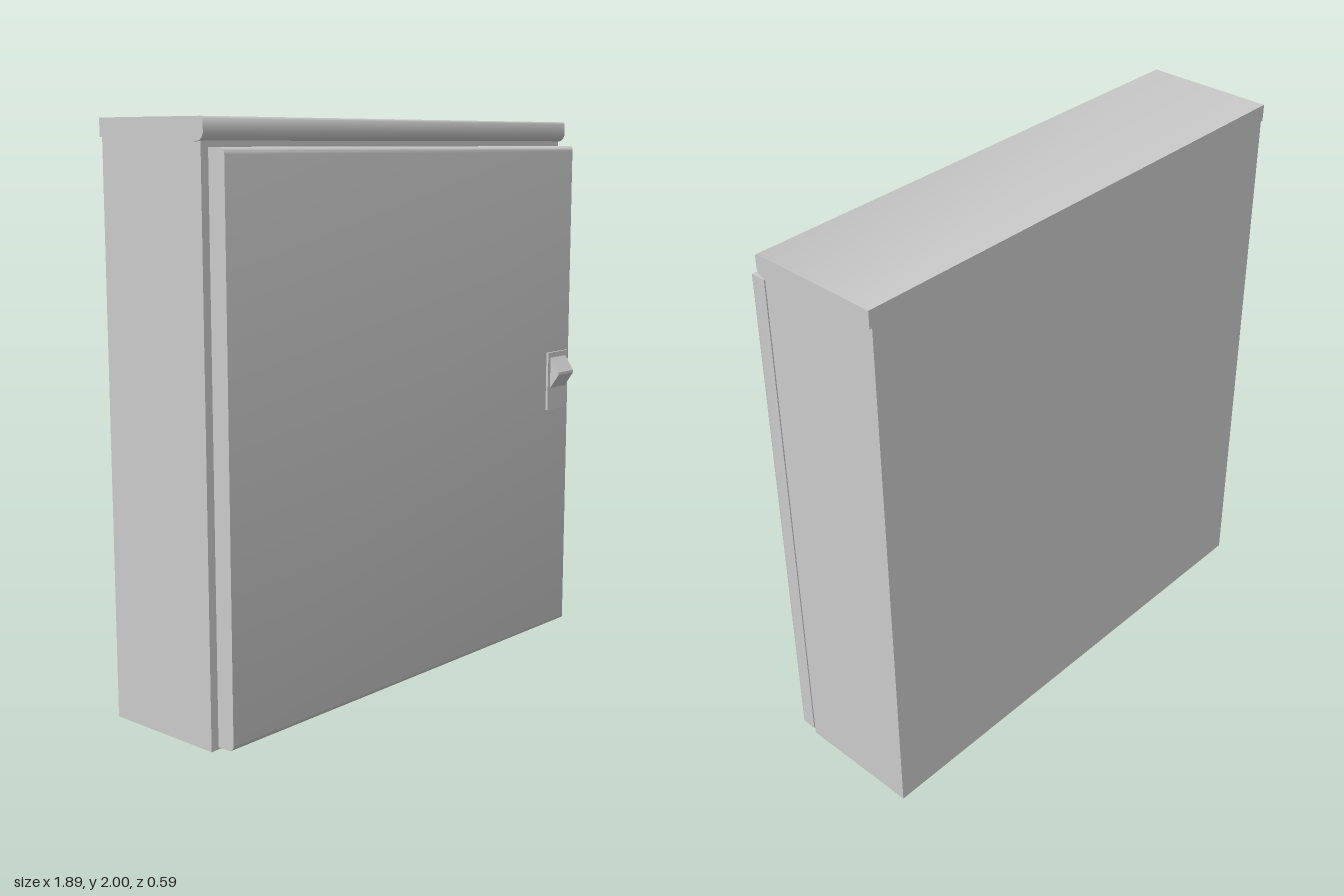
import * as THREE from 'three';
import { toCreasedNormals } from 'three/addons/utils/BufferGeometryUtils.js';

const grey = new THREE.MeshStandardMaterial({ color: 0xcccccc });

function add(parent, name, geometry, x = 0, y = 0, z = 0) {
  const mesh = new THREE.Mesh(geometry, grey);
  mesh.name = name;
  mesh.position.set(x, y, z);
  parent.add(mesh);
  return mesh;
}

// Box given by its extents on each axis
function addBox(parent, name, [x0, x1], [y0, y1], [z0, z1]) {
  return add(parent, name, new THREE.BoxGeometry(x1 - x0, y1 - y0, z1 - z0),
    (x0 + x1) / 2, (y0 + y1) / 2, (z0 + z1) / 2);
}

// Profile of [z, y] points swept along x, centred on cx
function sweepX(points, width, cx = 0) {
  const shape = new THREE.Shape(points.map(([z, y]) => new THREE.Vector2(-z, y)));
  const g = new THREE.ExtrudeGeometry(shape, { depth: width, bevelEnabled: false });
  g.translate(0, 0, -width / 2);
  g.rotateY(Math.PI / 2); // local x -> -z, depth -> x
  g.translate(cx, 0, 0);
  return g;
}

// Door leaf: front edge rounded at the top, bottom and latch side, square back
function doorGeometry(w, h, d, r) {
  const hx = w / 2, hy = h / 2;
  const shape = new THREE.Shape([[-1, -1], [1, -1], [1, 1], [-1, 1]]
    .map(([sx, sy]) => new THREE.Vector2(sx * (hx - r), sy * (hy - r))));
  const g = new THREE.ExtrudeGeometry(shape, {
    depth: d - 2 * r, bevelThickness: r, bevelSize: r, bevelSegments: 5,
  });
  const p = g.attributes.position;
  for (let i = 0; i < p.count; i++) {
    const x = p.getX(i), y = p.getY(i), back = p.getZ(i) < d / 2 - r;
    if (back || x < 0) p.setX(i, Math.sign(x) * hx);
    if (back) p.setY(i, Math.sign(y) * hy);
  }
  g.translate(0, 0, r);
  return toCreasedNormals(g, 0.6);
}

export function createModel() {
  const cabinet = new THREE.Group();
  cabinet.name = 'wallCabinet';

  // Housing with a flush back
  addBox(cabinet, 'housing', [-0.935, 0.935], [0, 1.94], [-0.295, 0.168]);

  // Top cap with a rounded rain lip over the door
  const cap = [
    [-0.295, 1.94], [0.15, 1.925], [0.172, 1.928], [0.184, 1.937],
    [0.19, 1.95], [0.19, 1.993], [0.183, 2], [-0.295, 2],
  ];
  add(cabinet, 'topCap', toCreasedNormals(sweepX(cap, 1.89), 0.8));

  // Door and the recessed seal behind it
  const door = new THREE.Group();
  door.name = 'door';
  cabinet.add(door);
  addBox(door, 'seal', [-0.9, 0.915], [0.025, 1.895], [0.16, 0.185]);
  add(door, 'doorLeaf', doorGeometry(1.846, 1.895, 0.07, 0.022), 0.009, 0.9615, 0.178);

  // Latch: backing plate and wedge-shaped pull
  const latch = new THREE.Group();
  latch.name = 'latch';
  door.add(latch);
  addBox(latch, 'latchPlate', [0.77, 0.9], [0.895, 1.12], [0.24, 0.257]);
  const pull = [[0.25, 0.97], [0.295, 1.035], [0.295, 1.045], [0.25, 1.11]];
  add(latch, 'latchPull', sweepX(pull, 0.1, 0.835));

  return cabinet;
}
